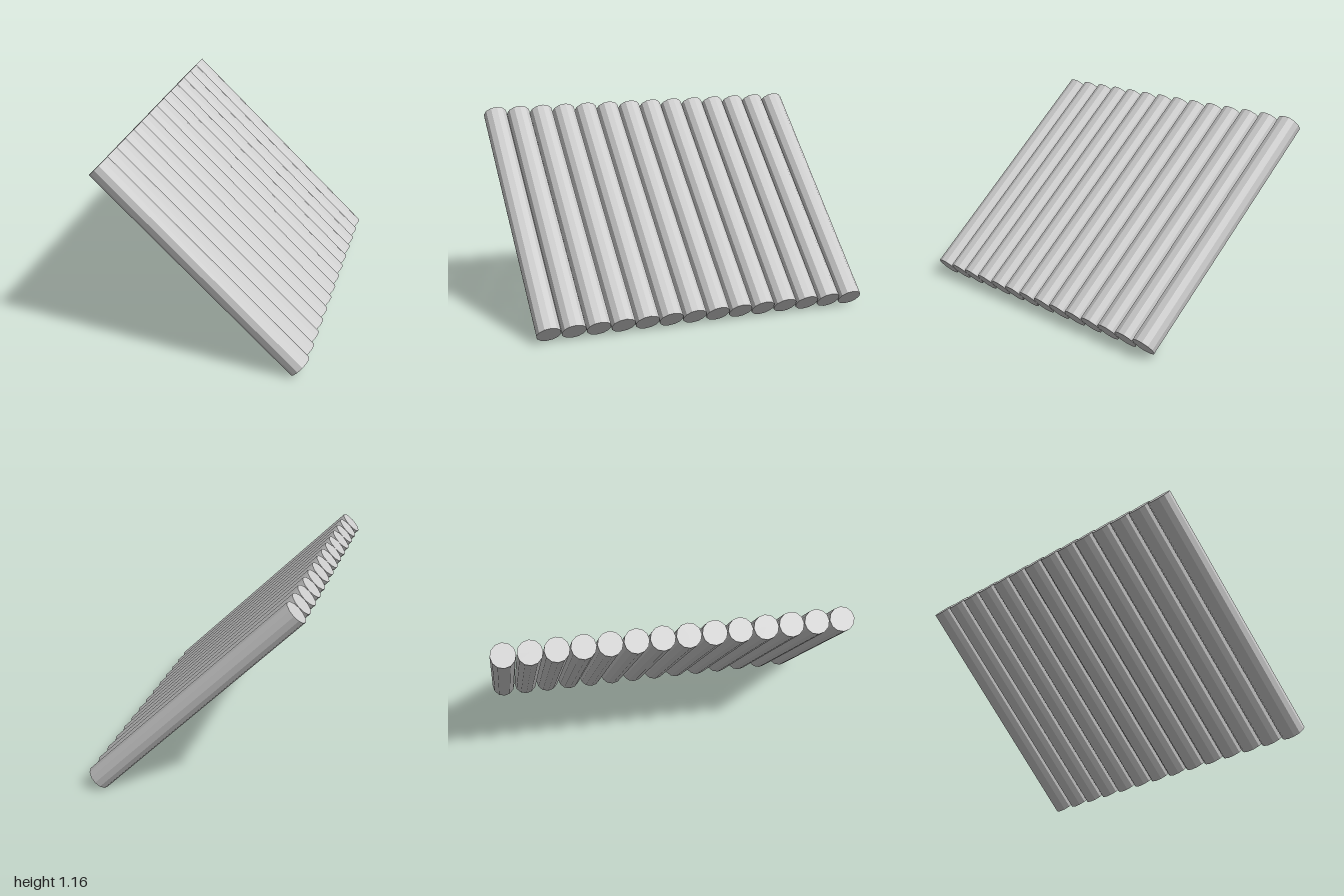
import * as THREE from 'three';

// A sloping row of identical logs laid side by side.
export function createModel() {
  const group = new THREE.Group();
  group.name = 'slopingLogPanel';

  const count = 14, radius = 0.07, sides = 12;
  const top = new THREE.Vector2(-0.548, 1.109);
  const bottom = new THREE.Vector2(0.548, 0.0505);
  const axis = top.clone().sub(bottom);

  const material = new THREE.MeshStandardMaterial({ color: 0xcccccc, flatShading: true });
  const geometry = new THREE.CylinderGeometry(radius, radius, axis.length(), sides);
  const first = 1 - radius;
  const pitch = (2 * first) / (count - 1);

  // Logs, from front to back
  for (let i = 0; i < count; i++) {
    const log = new THREE.Mesh(geometry, material);
    log.name = `log${i + 1}`;
    log.position.set((top.x + bottom.x) / 2, (top.y + bottom.y) / 2, first - i * pitch);
    log.rotation.z = axis.angle() - Math.PI / 2;
    group.add(log);
  }
  return group;
}
